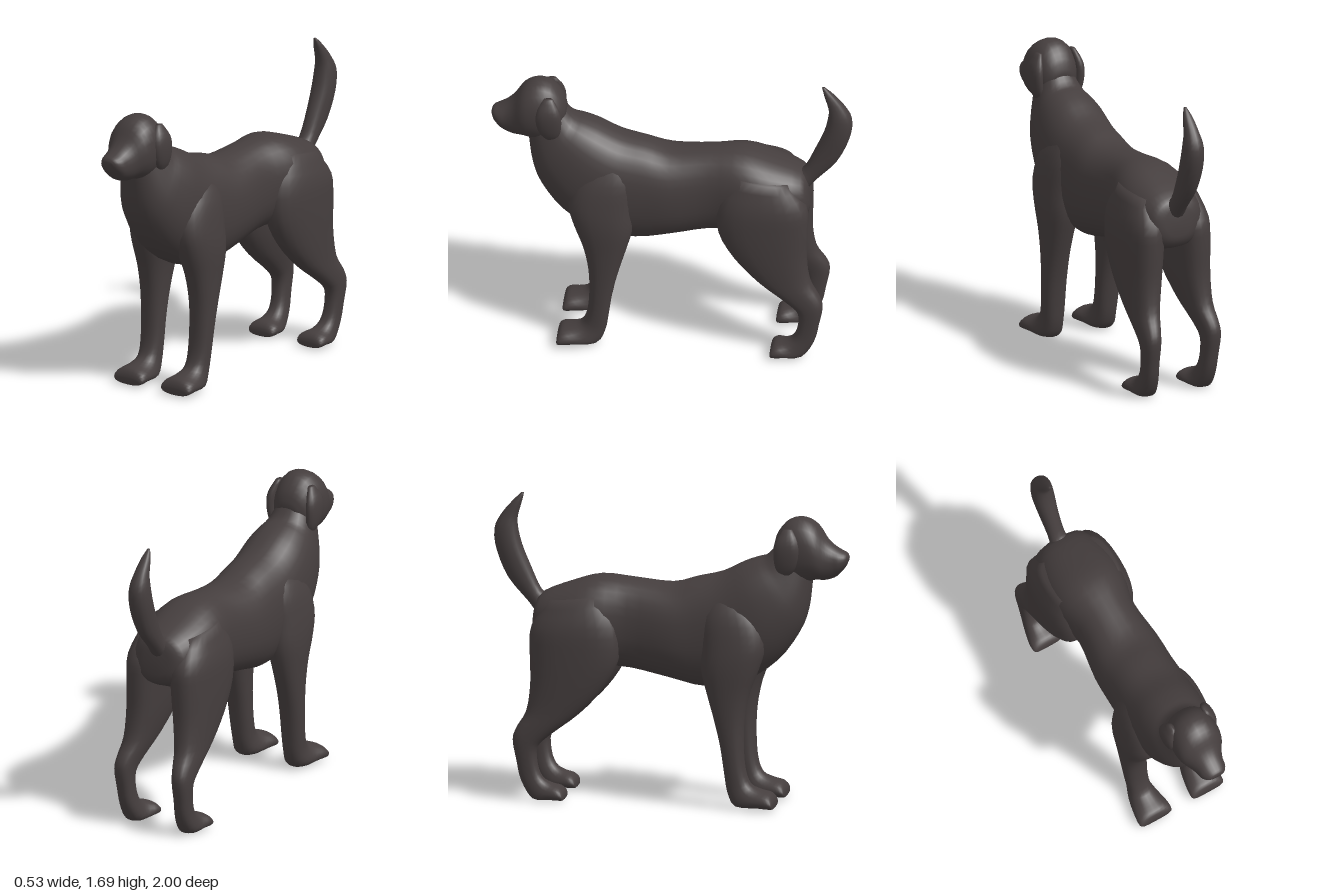
import * as THREE from 'three';

const coat = new THREE.MeshStandardMaterial({ color: 0x453e3e });
coat.name = 'dark coat';

// Smooth loft. Each section is an oval: [zA, yA, zB, yB, halfWidth, xCentre],
// where A and B are opposite ends of the oval in the side plane.
function loft(name, sections, { side = 1, power = 2.2, steps = 3, sides = 24 } = {}) {
  const curve = (f) => new THREE.CatmullRomCurve3(sections.map(f), false, 'catmullrom', 0.5);
  const edgeA = curve((s) => new THREE.Vector3(0, s[1], s[0]));
  const edgeB = curve((s) => new THREE.Vector3(0, s[3], s[2]));
  const widths = curve((s) => new THREE.Vector3(s[4], (s[5] || 0) * side, 0));
  const round = (v) => Math.sign(v) * Math.abs(v) ** (2 / power);
  const rows = (sections.length - 1) * steps;
  const pos = [], index = [], ends = [];
  for (let i = 0; i <= rows; i++) {
    const a = edgeA.getPoint(i / rows), b = edgeB.getPoint(i / rows), w = widths.getPoint(i / rows);
    const mid = a.clone().add(b).multiplyScalar(0.5);
    const half = a.clone().sub(b).multiplyScalar(0.5);
    for (let j = 0; j < sides; j++) {
      const t = (j / sides) * Math.PI * 2;
      const c = round(Math.cos(t)), s = round(Math.sin(t));
      pos.push(w.y + w.x * s, Math.max(0, mid.y + half.y * c), mid.z + half.z * c);
      if (i < rows) {
        const k = (j + 1) % sides, p = i * sides, q = p + sides;
        index.push(p + j, q + j, p + k, p + k, q + j, q + k);
      }
    }
    if (i === 0 || i === rows) ends.push(w.y, mid.y, mid.z);
  }
  // Closing fans
  const first = pos.length / 3;
  pos.push(...ends);
  for (let j = 0; j < sides; j++) {
    const k = (j + 1) % sides, q = rows * sides;
    index.push(first, j, k, first + 1, q + k, q + j);
  }
  const geo = new THREE.BufferGeometry();
  geo.setAttribute('position', new THREE.Float32BufferAttribute(pos, 3));
  geo.setIndex(index);
  geo.computeVertexNormals();
  const mesh = new THREE.Mesh(geo, coat);
  mesh.name = name;
  return mesh;
}

// Rump to throat
const body = [
  [-0.76, 1.08, -0.775, 0.92, 0.08],
  [-0.72, 1.14, -0.74, 0.85, 0.16],
  [-0.56, 1.205, -0.56, 0.79, 0.215],
  [-0.4, 1.25, -0.4, 0.75, 0.215],
  [-0.22, 1.24, -0.22, 0.735, 0.18],
  [0.0, 1.222, 0.0, 0.69, 0.205],
  [0.14, 1.26, 0.2, 0.65, 0.205],
  [0.28, 1.295, 0.42, 0.69, 0.21],
  [0.4, 1.355, 0.6, 0.81, 0.205],
  [0.48, 1.385, 0.72, 0.97, 0.18],
  [0.54, 1.405, 0.77, 1.1, 0.15],
  [0.6, 1.47, 0.79, 1.24, 0.115],
  [0.65, 1.53, 0.8, 1.33, 0.09],
];

// Skull to nose
const head = [
  [0.58, 1.46, 0.6, 1.36, 0.06],
  [0.605, 1.54, 0.64, 1.29, 0.105],
  [0.67, 1.61, 0.69, 1.26, 0.13],
  [0.75, 1.622, 0.76, 1.26, 0.138],
  [0.82, 1.585, 0.82, 1.275, 0.13],
  [0.87, 1.515, 0.87, 1.275, 0.1],
  [0.91, 1.475, 0.92, 1.29, 0.082],
  [0.955, 1.447, 0.95, 1.315, 0.075],
  [0.988, 1.43, 0.98, 1.35, 0.055],
  [0.999, 1.41, 0.994, 1.38, 0.03],
];

// Hanging ear
const ear = [
  [0.7, 1.57, 0.65, 1.57, 0.015, 0.105],
  [0.735, 1.51, 0.61, 1.5, 0.03, 0.125],
  [0.745, 1.44, 0.6, 1.43, 0.032, 0.13],
  [0.725, 1.36, 0.61, 1.35, 0.028, 0.122],
  [0.68, 1.3, 0.64, 1.3, 0.015, 0.108],
];

// Shoulder to front paw
const frontLeg = [
  [0.4, 1.22, 0.26, 1.22, 0.05, 0.1],
  [0.52, 1.08, 0.2, 1.08, 0.095, 0.13],
  [0.56, 0.93, 0.2, 0.92, 0.105, 0.15],
  [0.53, 0.8, 0.2, 0.78, 0.103, 0.16],
  [0.475, 0.65, 0.235, 0.64, 0.086, 0.168],
  [0.445, 0.5, 0.275, 0.5, 0.075, 0.171],
  [0.44, 0.35, 0.31, 0.35, 0.069, 0.17],
  [0.45, 0.22, 0.332, 0.2, 0.065, 0.167],
  [0.48, 0.14, 0.35, 0.09, 0.064, 0.165],
  [0.535, 0.112, 0.395, 0.012, 0.08, 0.165],
  [0.59, 0.094, 0.52, 0.008, 0.1, 0.165],
  [0.61, 0.07, 0.6, 0.005, 0.1, 0.165],
  [0.617, 0.045, 0.615, 0.012, 0.08, 0.165],
];

// Thigh to hind paw
const hindLeg = [
  [-0.36, 1.16, -0.66, 1.12, 0.08, 0.12],
  [-0.27, 0.99, -0.76, 0.98, 0.115, 0.137],
  [-0.27, 0.8, -0.77, 0.84, 0.112, 0.145],
  [-0.36, 0.63, -0.765, 0.66, 0.098, 0.152],
  [-0.49, 0.49, -0.785, 0.5, 0.076, 0.165],
  [-0.64, 0.375, -0.835, 0.41, 0.06, 0.18],
  [-0.717, 0.3, -0.856, 0.34, 0.052, 0.187],
  [-0.717, 0.2, -0.835, 0.22, 0.047, 0.185],
  [-0.69, 0.13, -0.81, 0.11, 0.05, 0.18],
  [-0.645, 0.1, -0.745, 0.008, 0.065, 0.175],
  [-0.595, 0.083, -0.65, 0.005, 0.088, 0.17],
  [-0.572, 0.06, -0.58, 0.004, 0.085, 0.17],
  [-0.565, 0.035, -0.567, 0.01, 0.065, 0.17],
];

// Raised, curved tail
const tail = [
  [-0.76, 1.02, -0.68, 1.12, 0.06],
  [-0.81, 1.085, -0.735, 1.15, 0.048],
  [-0.92, 1.21, -0.795, 1.28, 0.052],
  [-0.985, 1.36, -0.845, 1.4, 0.06],
  [-1.0, 1.48, -0.868, 1.5, 0.056],
  [-0.962, 1.565, -0.867, 1.56, 0.042],
  [-0.9, 1.64, -0.845, 1.64, 0.027],
  [-0.85, 1.69, -0.833, 1.69, 0.008],
];

export function createModel() {
  const dog = new THREE.Group();
  dog.name = 'dog';
  dog.add(loft('body', body, { power: 2.3, sides: 32 }), loft('head', head), loft('tail', tail, { sides: 16 }));
  for (const [label, side] of [['left', 1], ['right', -1]]) {
    dog.add(
      loft(label + 'Ear', ear, { side, sides: 16 }),
      loft(label + 'FrontLeg', frontLeg, { side, power: 2.3 }),
      loft(label + 'HindLeg', hindLeg, { side, power: 2.4 }),
    );
  }
  return dog;
}
